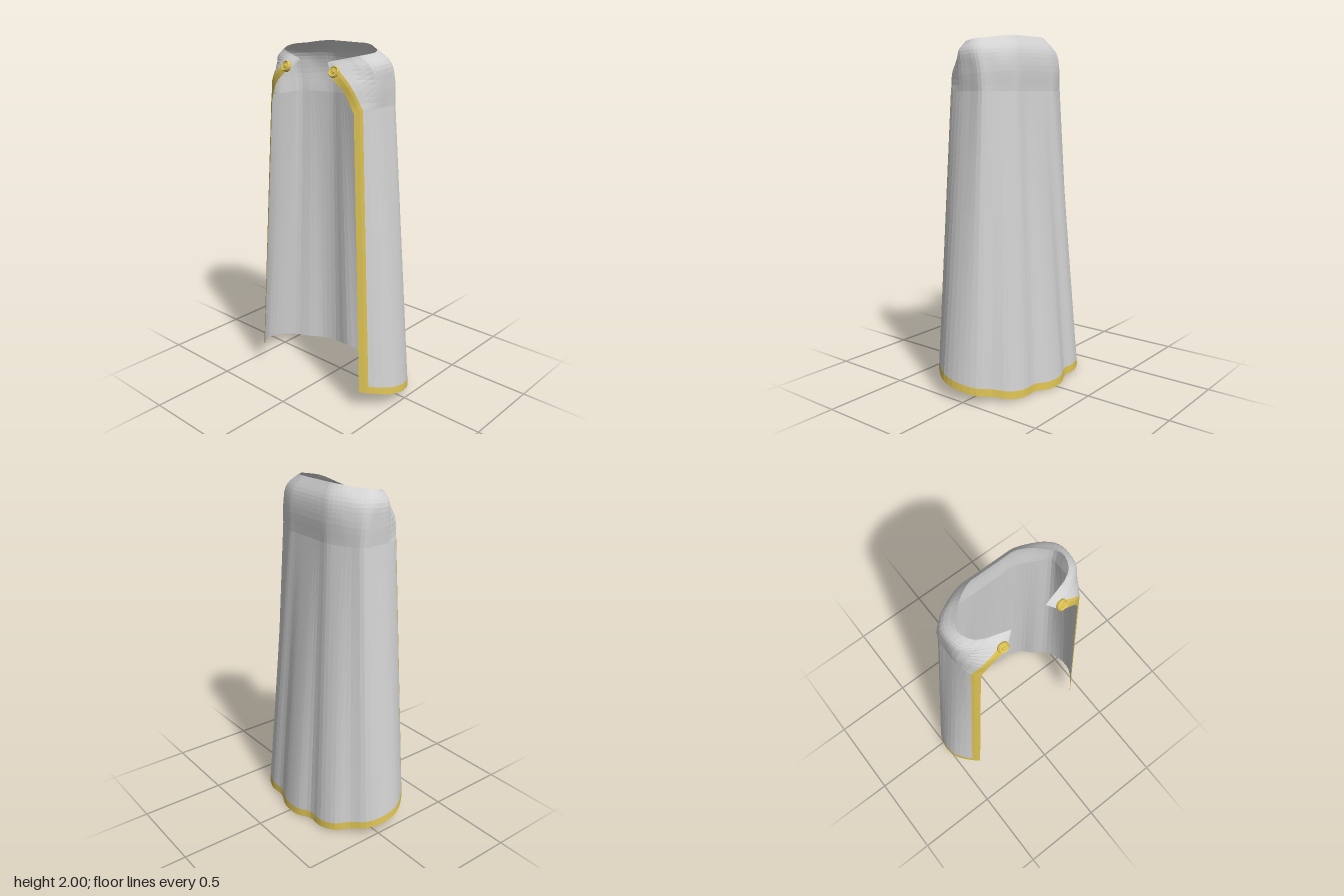
import * as THREE from 'three';

const cloth = new THREE.MeshStandardMaterial({ color: 0xd2d2d2, flatShading: true });
cloth.name = 'clothGrey';
const gold = new THREE.MeshStandardMaterial({ color: 0xdcc254, flatShading: true });
gold.name = 'trimGold';

// Half cross-sections from the middle of the back to the front edge.
// Hem [x, z]; its height follows a slope that rises to the front.
const hemXZ = [[0, -.28], [.07, -.272], [.15, -.238], [.25, -.238], [.34, -.2], [.4, -.13],
  [.47, -.07], [.512, .03], [.505, .14], [.43, .245], [.39, .28]];
const hem = hemXZ.map(([x, z]) => [x, .065 + .22 * z, z]);
const chestXZ = [[0, -.125], [.05, -.125], [.11, -.125], [.17, -.125], [.24, -.1], [.3, -.07],
  [.355, -.035], [.36, .04], [.358, .12], [.335, .205], [.3, .235]];
const chest = chestXZ.map(([x, z], i) => [x, i === 10 ? 1.68 : 1.7, z]);
// Shoulder sections and neck rim [x, y, z]
const arm = [[0, 1.84, -.128], [.05, 1.84, -.128], [.11, 1.84, -.128], [.17, 1.84, -.125],
  [.25, 1.84, -.1], [.31, 1.83, -.065], [.357, 1.83, -.025], [.364, 1.82, .04],
  [.357, 1.82, .13], [.28, 1.82, .238], [.245, 1.785, .25]];
const shoulder = [[0, 1.925, -.112], [.05, 1.925, -.112], [.1, 1.925, -.112], [.16, 1.925, -.11],
  [.24, 1.925, -.08], [.305, 1.92, -.045], [.347, 1.92, .005], [.357, 1.915, .07],
  [.335, 1.91, .15], [.19, 1.895, .232], [.165, 1.855, .252]];
const rim = [[0, 2, -.067], [.04, 2, -.067], [.08, 2, -.067], [.13, 2, -.065],
  [.19, 1.995, -.04], [.25, 1.985, .005], [.295, 1.98, .05], [.308, 1.972, .09],
  [.27, 1.96, .16], [.14, 1.93, .2], [.1, 1.92, .21]];

const SUB = 3;              // columns between two keys
const COLS = 20 * SUB;      // columns across the whole cape

// Sample a mirrored section from the right front edge around the back to the left one
function sample(half) {
  const right = half.slice(1).reverse().map(([x, y, z]) => new THREE.Vector3(-x, y, z));
  const left = half.map((p) => new THREE.Vector3(...p));
  const curve = new THREE.CatmullRomCurve3([...right, ...left]);
  return Array.from({ length: COLS + 1 }, (_, i) => curve.getPoint(i / COLS));
}

// Rows from hem to rim: straight skirt, then a curved shoulder
function makeRows() {
  const [h, c, a, s, r] = [hem, chest, arm, shoulder, rim].map(sample);
  const rows = [0, .026, .2, .4, .6, .8].map((t) => h.map((p, i) => p.clone().lerp(c[i], t)));
  const upper = c.map((p, i) => new THREE.CatmullRomCurve3([p, a[i], s[i], r[i]]));
  for (let j = 0; j <= 12; j++) rows.push(upper.map((k) => k.getPoint(j / 12)));
  return rows;
}

// Build a sheet from grid cells chosen by a test; flip turns it to face inward
function sheet(rows, test, flip) {
  const positions = rows.flat().flatMap((p) => [p.x, p.y, p.z]);
  const index = [];
  const w = COLS + 1;
  for (let j = 0; j < rows.length - 1; j++) {
    for (let i = 0; i < COLS; i++) {
      if (!test(i, j)) continue;
      const a = j * w + i, b = a + 1, c = a + w, d = c + 1;
      if (flip) index.push(a, b, c, b, d, c);
      else index.push(a, c, b, b, c, d);
    }
  }
  const g = new THREE.BufferGeometry();
  g.setAttribute('position', new THREE.Float32BufferAttribute(positions, 3));
  g.setIndex(index);
  g.computeVertexNormals();
  return g;
}

export function createModel() {
  const group = new THREE.Group();
  group.name = 'cape';
  const add = (name, geometry, material) => {
    const mesh = new THREE.Mesh(geometry, material);
    mesh.name = name;
    group.add(mesh);
    return mesh;
  };

  // Outer cloth with its hem and front borders
  const rows = makeRows();
  const isHem = (i, j) => j === 0;
  const isBorder = (i, j) => j > 0 && j < 14 && (i < SUB || i >= COLS - SUB);
  add('outerCloth', sheet(rows, (i, j) => !isHem(i, j) && !isBorder(i, j)), cloth);
  add('hemTrim', sheet(rows, isHem), gold);
  add('frontTrim', sheet(rows, isBorder), gold);

  // Lining, set slightly inside the outer cloth
  const normals = sheet(rows, () => true).attributes.normal;
  const inner = rows.map((row, j) => row.map((p, i) => {
    const n = new THREE.Vector3().fromBufferAttribute(normals, j * (COLS + 1) + i);
    return p.clone().addScaledVector(n, -.003);
  }));
  add('lining', sheet(inner, () => true, true), cloth);

  // Round clasps with a raised rim and a centre stud
  const profile = [[0, -.012], [.03, -.012], [.031, .004], [.026, .011], [.021, .006],
    [.01, .006], [.008, .012], [0, .014]].map(([x, y]) => new THREE.Vector2(x, y));
  for (const side of [-1, 1]) {
    const clasp = add(side > 0 ? 'leftClasp' : 'rightClasp', new THREE.LatheGeometry(profile, 16), gold);
    clasp.position.set(side * .173, 1.88, .243);
    clasp.rotation.set(Math.PI / 2 - .4, 0, -side * .12);
  }
  return group;
}
